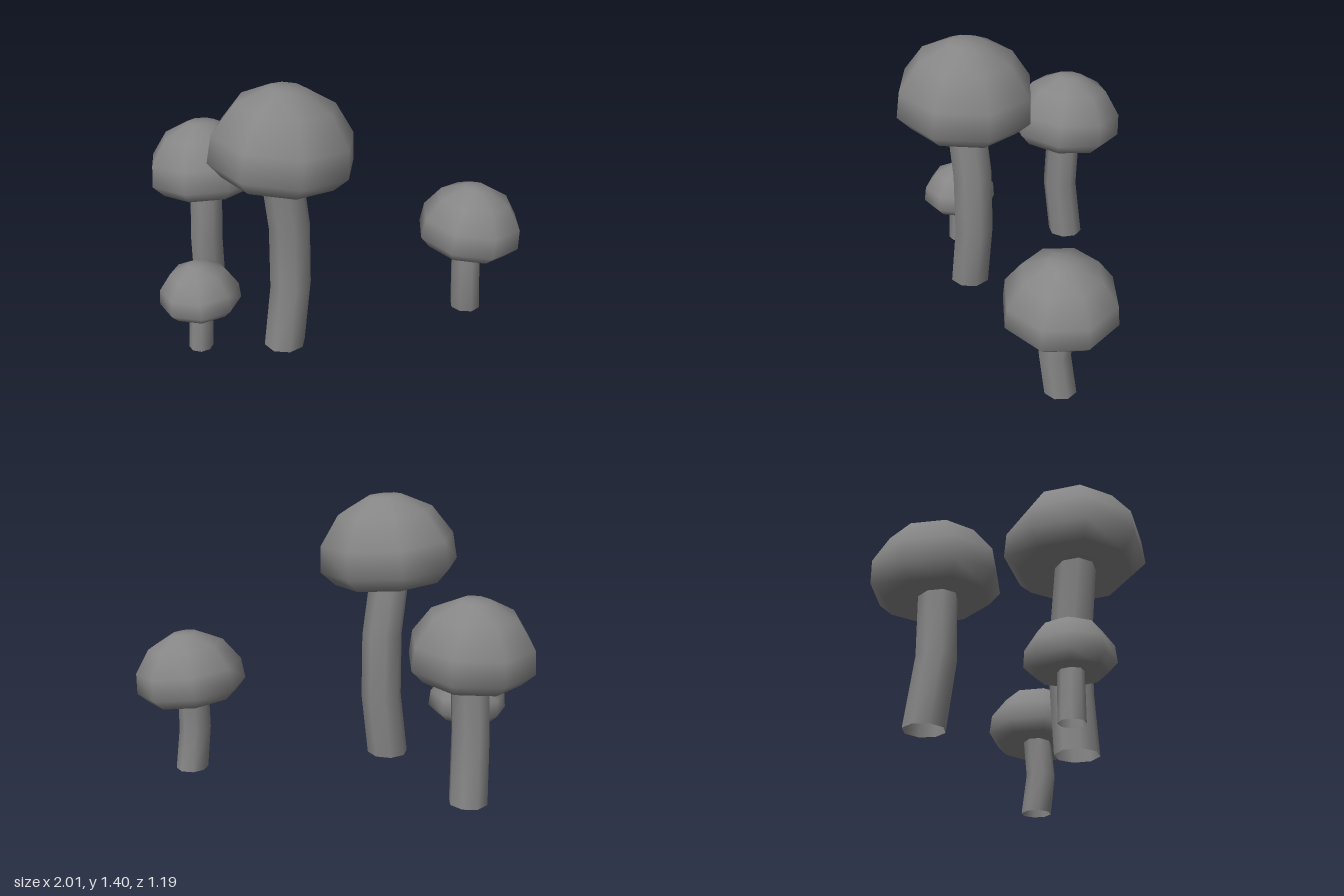
import * as THREE from 'three';
import { mergeVertices } from 'three/addons/utils/BufferGeometryUtils.js';

const SIDES = 8;
const rad = THREE.MathUtils.degToRad;
const material = new THREE.MeshStandardMaterial({ color: 0x868686, side: THREE.DoubleSide });

// Cap profile for a rim radius of 1: underside, rolled rim, dome
const CAP = [[0, 0.06], [0.35, 0.05], [0.8, 0], [1, 0.205], [0.965, 0.585], [0.68, 1], [0.25, 1.215], [0, 1.225]];

// base/top: stem centre [x, z] at the ground and under the cap; bend: sideways bow at mid-height
// capY: height of the cap's lower edge; tilt: cap lean [x, z] in degrees; turn: facet angle
const MUSHROOMS = [
  { name: 'tallMushroom', base: [-0.14, 0.24], top: [-0.142, 0.25], bend: [0.032, -0.04], rings: 3,
    capY: 0.956, radius: 0.361, stem: 0.108, tilt: [-3, -4], turn: 16 },
  { name: 'leftMushroom', base: [-0.714, -0.245], top: [-0.695, -0.22], bend: [0, 0.026], rings: 2,
    capY: 0.625, radius: 0.306, stem: 0.096, tilt: [-4.5, 3.5], turn: 2 },
  { name: 'smallMushroom', base: [-0.554, 0.372], top: [-0.542, 0.366], bend: [0, 0], rings: 2,
    capY: 0.229, radius: 0.205, stem: 0.062, tilt: [-1.5, 2.5], turn: 25 },
  { name: 'rightMushroom', base: [0.744, -0.335], top: [0.727, -0.323], bend: [0, 0.025], rings: 2,
    capY: 0.388, radius: 0.277, stem: 0.082, tilt: [-1.2, -6], turn: 12.5 },
];

// Weld seams and poles so the shading runs smoothly all round
function smooth(geometry) {
  geometry.deleteAttribute('uv');
  geometry.deleteAttribute('normal');
  const welded = mergeVertices(geometry, 1e-4);
  welded.computeVertexNormals();
  return welded;
}

// Bowed stem: an open tube whose rings follow a gentle curve
function makeStem({ base, top, bend, rings, capY, radius, stem, turn }) {
  const height = capY + radius * 0.12;
  const geometry = new THREE.CylinderGeometry(stem * 0.96, stem, height, SIDES, rings, true);
  geometry.rotateY(rad(-turn)).translate(0, height / 2, 0);
  const p = geometry.attributes.position;
  for (let i = 0; i < p.count; i++) {
    const t = p.getY(i) / height;
    const bow = 4 * t * (1 - t);
    p.setX(i, p.getX(i) + THREE.MathUtils.lerp(base[0], top[0], t) + bend[0] * bow);
    p.setZ(i, p.getZ(i) + THREE.MathUtils.lerp(base[1], top[1], t) + bend[1] * bow);
  }
  const mesh = new THREE.Mesh(smooth(geometry), material);
  mesh.name = 'stem';
  return mesh;
}

// Domed cap, leaning slightly
function makeCap({ top, capY, radius, tilt, turn }) {
  const profile = CAP.map(([r, y]) => new THREE.Vector2(r * radius, y * radius));
  const mesh = new THREE.Mesh(smooth(new THREE.LatheGeometry(profile, SIDES, rad(-turn))), material);
  mesh.name = 'cap';
  mesh.position.set(top[0], capY, top[1]);
  mesh.rotation.set(rad(tilt[0]), 0, rad(tilt[1]));
  return mesh;
}

export function createModel() {
  const model = new THREE.Group();
  model.name = 'mushrooms';
  for (const spec of MUSHROOMS) {
    const mushroom = new THREE.Group();
    mushroom.name = spec.name;
    mushroom.add(makeStem(spec), makeCap(spec));
    model.add(mushroom);
  }
  return model;
}
